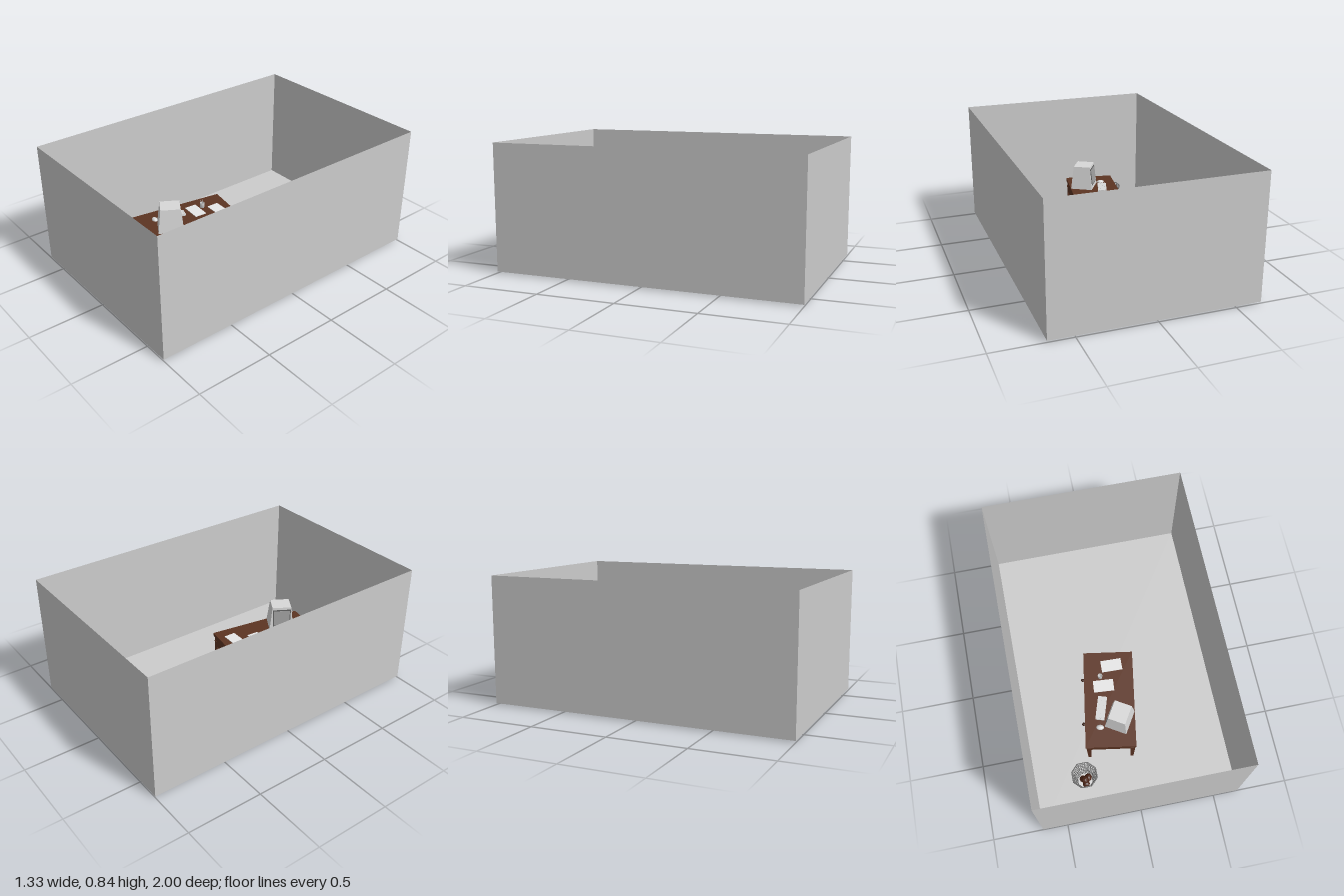
import * as THREE from 'three';

const mat = (name, color, side = THREE.FrontSide) => {
  const m = new THREE.MeshStandardMaterial({ color, side });
  m.name = name;
  return m;
};

export function createModel() {
  const wall = mat('wall grey', 0xcccccc, THREE.DoubleSide);
  const wood = mat('desk wood', 0x5c3422);
  const darkWood = mat('knob brown', 0x3a2016);
  const paper = mat('paper white', 0xe8e8e8);
  const plastic = mat('computer grey', 0xd8d8d8);
  const glass = mat('screen grey', 0xa0a0a0);
  const frame = mat('screen frame grey', 0x606060);
  const wire = mat('basket grey', 0x777777, THREE.DoubleSide);
  const rubbish = mat('rubbish brown', 0x4a2416);
  rubbish.flatShading = true;

  const model = new THREE.Group();
  model.name = 'office';

  const add = (parent, name, geo, material, x = 0, y = 0, z = 0, ry = 0) => {
    const m = new THREE.Mesh(geo, material);
    m.name = name;
    m.position.set(x, y, z);
    m.rotation.y = ry;
    parent.add(m);
    return m;
  };
  const group = (name, x, y, z, ry = 0) => {
    const g = new THREE.Group();
    g.name = name;
    g.position.set(x, y, z);
    g.rotation.y = ry;
    model.add(g);
    return g;
  };
  const box = (w, h, d) => new THREE.BoxGeometry(w, h, d);
  // Box standing on y = 0 whose top is scaled by sx, sz
  const taper = (w, h, d, sx, sz) => {
    const g = box(w, h, d).translate(0, h / 2, 0);
    const p = g.attributes.position;
    for (let i = 0; i < p.count; i++) {
      if (p.getY(i) > h / 2) p.setXYZ(i, p.getX(i) * sx, h, p.getZ(i) * sz);
    }
    g.computeVertexNormals();
    return g;
  };

  // Room: floor and four thin walls, open at the top
  const W = 1.33, L = 2, H = 0.83, floorY = 0.01;
  const room = group('room', 0, floorY, 0);
  add(room, 'floor', new THREE.PlaneGeometry(W, L).rotateX(-Math.PI / 2), wall);
  for (const s of [1, -1]) {
    add(room, s > 0 ? 'frontWall' : 'backWall', new THREE.PlaneGeometry(W, H),
      wall, 0, H / 2, s * L / 2, s > 0 ? 0 : Math.PI);
    add(room, s > 0 ? 'leftWall' : 'rightWall', new THREE.PlaneGeometry(L, H),
      wall, s * W / 2, H / 2, 0, s * Math.PI / 2);
  }

  // Desk: top, apron, four legs, two drawers with knobs
  const deskTop = 0.335;
  const desk = group('desk', -0.075, 0, 0.293, -0.162);
  add(desk, 'deskTop', box(0.33, 0.02, 0.653), wood, 0, deskTop - 0.01, 0);
  add(desk, 'apron', box(0.315, 0.075, 0.635), wood, 0, deskTop - 0.0575, 0);
  for (const x of [-1, 1]) {
    for (const z of [-1, 1]) {
      const leg = taper(0.02, 0.28, 0.02, 1.6, 1.6);
      add(desk, 'deskLeg', leg, wood, x * 0.144, 0, z * 0.304);
    }
  }
  for (const z of [-0.153, 0.153]) {
    add(desk, 'drawerFront', box(0.008, 0.055, 0.27), wood, -0.16, 0.28, z);
    add(desk, 'drawerKnob', new THREE.SphereGeometry(0.011, 10, 8), darkWood, -0.175, 0.28, z);
  }

  // Monitor: flared case with a framed, slightly tilted screen
  const monitor = group('monitor', -0.035, deskTop, 0.441, -2.117);
  add(monitor, 'monitorCase', taper(0.165, 0.16, 0.15, 0.78, 0.77), plastic);
  const tilt = -0.108;
  add(monitor, 'screenFrame', box(0.122, 0.118, 0.006), frame, 0, 0.085, 0.066).rotation.x = tilt;
  add(monitor, 'screen', box(0.108, 0.104, 0.006), glass, 0, 0.085, 0.068).rotation.x = tilt;

  // Keyboard with rows of keys
  const keyboard = group('keyboard', -0.14, deskTop, 0.347, -0.31);
  add(keyboard, 'keyboardBase', box(0.06, 0.01, 0.16), plastic, 0, 0.005, 0);
  for (let r = 0; r < 4; r++) {
    add(keyboard, 'keyRow', box(0.009, 0.004, 0.148), plastic, -0.02 + r * 0.0133, 0.012, 0);
  }

  // Mouse
  const mouse = new THREE.SphereGeometry(1, 16, 8, 0, Math.PI * 2, 0, Math.PI / 2);
  add(model, 'mouse', mouse.scale(0.026, 0.016, 0.018), plastic, -0.172, deskTop, 0.472, -0.2);

  // Papers
  add(model, 'paper', box(0.138, 0.004, 0.08), paper, -0.016, deskTop + 0.002, 0.066, -0.03);
  add(model, 'paper', box(0.135, 0.004, 0.08), paper, -0.095, deskTop + 0.002, 0.197, -0.08);

  // Pen cup
  const cup = group('penCup', -0.106, deskTop, 0.133);
  const profile = [[0, 0], [0.014, 0], [0.016, 0.035], [0.013, 0.035], [0.012, 0.005], [0, 0.005]];
  add(cup, 'cup', new THREE.LatheGeometry(profile.map(p => new THREE.Vector2(...p)), 12), plastic);
  for (let i = 0; i < 3; i++) {
    const a = i * 2.1;
    const pen = add(cup, 'pen', new THREE.CylinderGeometry(0.002, 0.002, 0.05, 6), plastic,
      Math.cos(a) * 0.006, 0.031, Math.sin(a) * 0.006);
    pen.rotation.set(Math.sin(a) * 0.12, 0, -Math.cos(a) * 0.12);
  }

  // Eight-sided wire waste basket
  const basket = group('wasteBasket', -0.33, floorY, 0.733, Math.PI / 8);
  const r0 = 0.052, r1 = 0.086, bh = 0.19;
  const corner = (k, t) => {
    const a = k * Math.PI / 4, r = r0 + (r1 - r0) * t;
    return new THREE.Vector3(Math.cos(a) * r, bh * t + 0.002, Math.sin(a) * r);
  };
  const bar = (name, a, b, r) => {
    const m = add(basket, name, new THREE.CylinderGeometry(r, r, a.distanceTo(b), 5), wire);
    m.position.copy(a).lerp(b, 0.5);
    m.quaternion.setFromUnitVectors(new THREE.Vector3(0, 1, 0), b.clone().sub(a).normalize());
  };
  for (let k = 0; k < 8; k++) {
    for (let j = 0; j < 4; j++) {
      const foot = corner(k, 0).lerp(corner(k + 1, 0), j / 4);
      const head = corner(k, 1).lerp(corner(k + 1, 1), j / 4);
      bar('basketBar', foot, head, 0.002);
    }
    for (let i = 0; i <= 7; i++) {
      bar('basketRing', corner(k, i / 7), corner(k + 1, i / 7), i === 7 ? 0.004 : 0.002);
    }
  }
  add(basket, 'basketBottom', new THREE.CircleGeometry(r0, 8).rotateX(-Math.PI / 2), plastic, 0, 0.003, 0);

  // Crumpled balls in the basket, the lowest just touching through the floor
  const balls = [[-0.343, 0.024, 0.722, 0.024], [-0.328, 0.025, 0.758, 0.025],
    [-0.308, 0.04, 0.722, 0.026], [-0.332, 0.065, 0.738, 0.026]];
  balls.forEach(([x, y, z, r], i) => {
    const g = new THREE.IcosahedronGeometry(r, 1);
    add(model, 'crumpledBall', g, rubbish, x, y, z, i * 0.8);
  });

  return model;
}
